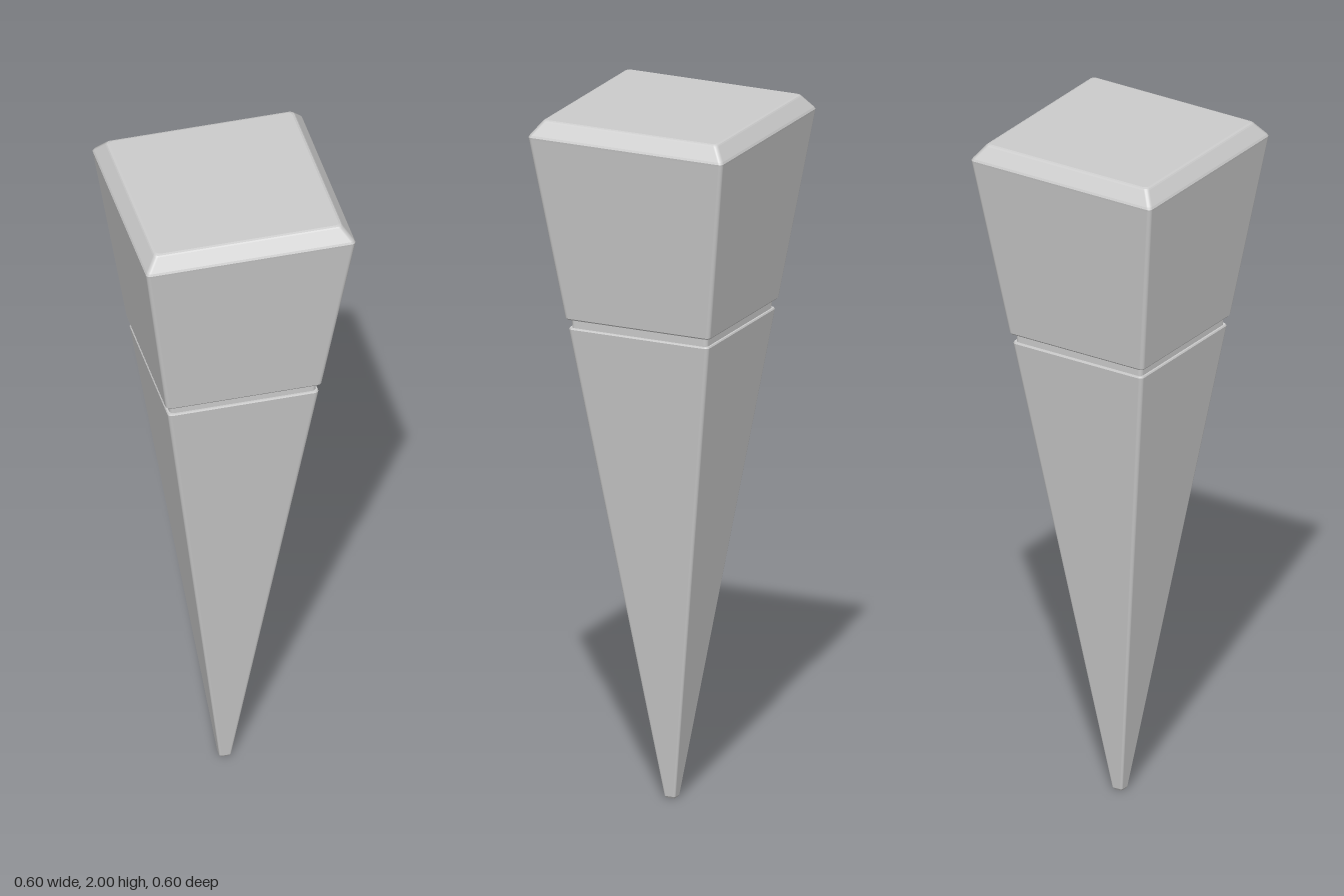
import * as THREE from 'three';

const material = new THREE.MeshStandardMaterial({ color: 0xcccccc });
const ARC = 4; // segments in each rounded corner

// Square ring with slightly rounded corners: [x, z, angle of the normal]
function squareRing(half) {
  const r = Math.min(0.012, half * 0.4);
  const ring = [];
  for (let corner = 0; corner < 4; corner++) {
    const mid = Math.PI / 4 + corner * Math.PI / 2;
    const cx = Math.sign(Math.cos(mid)) * (half - r);
    const cz = Math.sign(Math.sin(mid)) * (half - r);
    for (let i = 0; i <= ARC; i++) {
      const a = corner * Math.PI / 2 + (i / ARC) * Math.PI / 2;
      ring.push([cx + r * Math.cos(a), cz + r * Math.sin(a), a]);
    }
  }
  return ring;
}

// Square loft through [halfWidth, y] points, bottom to top, with crisp bands
function squareLoft(name, profile) {
  const position = [], normal = [], index = [];
  for (let k = 0; k < profile.length - 1; k++) {
    const [h0, y0] = profile[k], [h1, y1] = profile[k + 1];
    const length = Math.hypot(h1 - h0, y1 - y0);
    const out = (y1 - y0) / length, up = (h0 - h1) / length;
    const base = position.length / 3, count = 4 * (ARC + 1);
    for (const [h, y] of [profile[k], profile[k + 1]]) {
      for (const [x, z, a] of squareRing(h)) {
        position.push(x, y, z);
        normal.push(Math.cos(a) * out, up, Math.sin(a) * out);
      }
    }
    for (let i = 0; i < count; i++) {
      const a = base + i, b = base + (i + 1) % count;
      if (h0 > 0) index.push(a, b + count, b);
      if (h1 > 0) index.push(a, a + count, b + count);
    }
  }
  const geometry = new THREE.BufferGeometry();
  geometry.setAttribute('position', new THREE.Float32BufferAttribute(position, 3));
  geometry.setAttribute('normal', new THREE.Float32BufferAttribute(normal, 3));
  geometry.setIndex(index);
  const mesh = new THREE.Mesh(geometry, material);
  mesh.name = name;
  return mesh;
}

export function createModel() {
  const model = new THREE.Group();
  model.name = 'taperedSpike';
  model.add(
    // Long tapering lower part with a tiny blunt tip
    squareLoft('spike', [
      [0, 0], [0.013, 0], [0.017, 0.006], [0.216, 1.386], [0.214, 1.39], [0, 1.39],
    ]),
    // Recessed band between the two parts
    squareLoft('groove', [[0.209, 1.38], [0.21, 1.425]]),
    // Flaring head with a softened chamfer around the top
    squareLoft('head', [
      [0, 1.415], [0.22, 1.415], [0.223, 1.419],
      [0.299, 1.948], [0.3, 1.954], [0.297, 1.96],
      [0.271, 1.995], [0.268, 1.998], [0.262, 2], [0, 2],
    ]),
  );
  return model;
}
